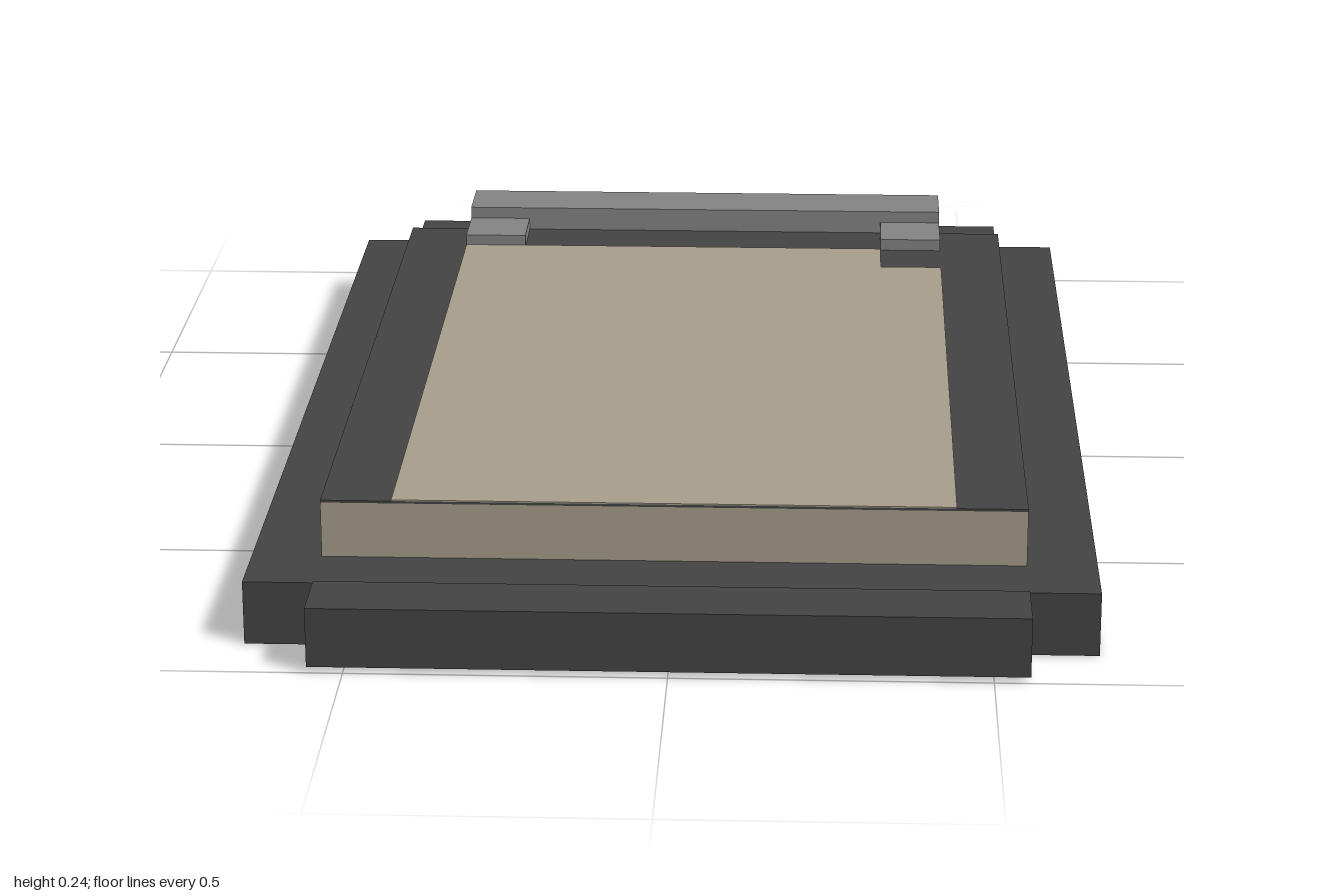
import * as THREE from 'three';

export function createModel() {
  const group = new THREE.Group();
  const mat = (name, color) => {
    const m = new THREE.MeshStandardMaterial({ color });
    m.name = name;
    return m;
  };
  const dark = mat('charcoal', 0x444444);
  const tan = mat('paper tan', 0xa89f8d);
  const grey = mat('clip grey', 0x858585);

  // Box given by its extents on each axis
  const box = (name, material, [x0, x1], [y0, y1], [z0, z1]) => {
    const mesh = new THREE.Mesh(new THREE.BoxGeometry(x1 - x0, y1 - y0, z1 - z0), material);
    mesh.position.set((x0 + x1) / 2, (y0 + y1) / 2, (z0 + z1) / 2);
    mesh.name = name;
    group.add(mesh);
  };

  // Board with a lip at each end
  box('board', dark, [-0.667, 0.667], [0, 0.104], [-0.889, 0.889]);
  box('frontLip', dark, [-0.556, 0.556], [0.01, 0.107], [0.889, 1]);
  box('backLip', dark, [-0.556, 0.556], [0.01, 0.107], [-1, -0.889]);
  box('clipStep', dark, [-0.556, 0.556], [0.104, 0.145], [-0.889, -0.667]);

  // Paper stack with a thin dark cover
  box('paperStack', tan, [-0.556, 0.556], [0.104, 0.195], [-0.667, 0.778]);
  box('stackCover', dark, [-0.556, 0.556], [0.195, 0.199], [-0.667, 0.778]);

  // Top sheet with a notched corner
  const outline = [[-0.444, 0.778], [0.444, 0.778], [0.444, -0.45], [0.333, -0.45], [0.333, -0.56], [-0.444, -0.56]];
  const shape = new THREE.Shape(outline.map(([x, z]) => new THREE.Vector2(x, -z)));
  const sheetGeometry = new THREE.ExtrudeGeometry(shape, { depth: 0.005, bevelEnabled: false });
  sheetGeometry.rotateX(-Math.PI / 2);
  const sheet = new THREE.Mesh(sheetGeometry, tan);
  sheet.position.y = 0.196;
  sheet.name = 'topSheet';
  group.add(sheet);

  // Clip bar and its two tabs
  box('clipBar', grey, [-0.444, 0.444], [0.145, 0.241], [-0.778, -0.667]);
  box('leftClipTab', grey, [0.333, 0.444], [0.199, 0.22], [-0.667, -0.558]);
  box('rightClipTab', grey, [-0.444, -0.333], [0.199, 0.22], [-0.667, -0.558]);

  return group;
}
